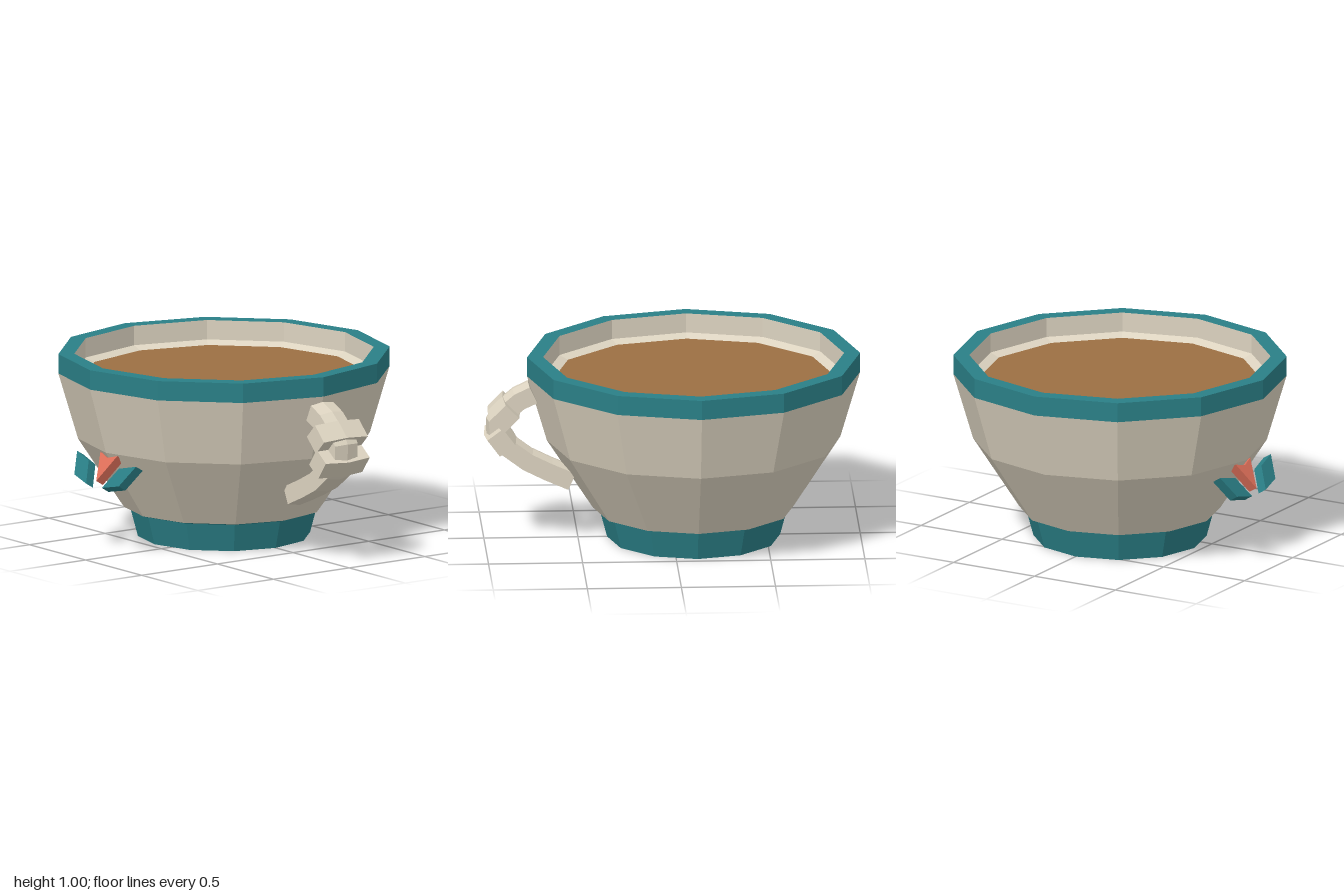
import * as THREE from 'three';

const SIDES = 12;
const CUP_X = -0.115;

const mat = (color) => new THREE.MeshStandardMaterial({ color, flatShading: true });
const cream = mat(0xdcd3c0);
const teal = mat(0x2a7f86);
const coral = mat(0xe0705a);
const brown = mat(0x9c6f43);

function add(parent, name, geometry, material) {
  const mesh = new THREE.Mesh(geometry, material);
  mesh.name = name;
  parent.add(mesh);
  return mesh;
}

const lathe = (points) =>
  new THREE.LatheGeometry(points.map(([r, y]) => new THREE.Vector2(r, y)), SIDES);

// Hexagonal section with a ridge on the outside and inside, swept along points in the xy plane
function sweep(path, thick, width) {
  const section = [
    [thick, 0], [thick * 0.78, width], [-thick * 0.78, width],
    [-thick, 0], [-thick * 0.78, -width], [thick * 0.78, -width],
  ];
  const count = section.length;
  const positions = [];
  const index = [];
  path.forEach(([x, y], i) => {
    const a = path[Math.max(i - 1, 0)];
    const b = path[Math.min(i + 1, path.length - 1)];
    const length = Math.hypot(b[0] - a[0], b[1] - a[1]);
    const nx = -(b[1] - a[1]) / length;
    const ny = (b[0] - a[0]) / length;
    section.forEach(([n, z]) => positions.push(x + nx * n, y + ny * n, z));
  });
  for (let i = 0; i < path.length - 1; i++) {
    for (let j = 0; j < count; j++) {
      const k = (j + 1) % count;
      const p = i * count;
      const q = p + count;
      index.push(p + j, p + k, q + k, p + j, q + k, q + j);
    }
  }
  // End caps
  const last = (path.length - 1) * count;
  for (let j = 1; j < count - 1; j++) {
    index.push(0, j + 1, j, last, last + j, last + j + 1);
  }
  const geometry = new THREE.BufferGeometry();
  geometry.setAttribute('position', new THREE.Float32BufferAttribute(positions, 3));
  geometry.setIndex(index);
  const flat = geometry.toNonIndexed();
  flat.computeVertexNormals();
  return flat;
}

export function createModel() {
  const model = new THREE.Group();
  model.name = 'teacup';

  // Cup: foot, bowl, rim, inner wall and drink
  const cup = new THREE.Group();
  cup.name = 'cup';
  cup.position.x = CUP_X;
  model.add(cup);
  add(cup, 'foot', lathe([[0, 0], [0.46, 0], [0.5, 0.15], [0.535, 0.16]]), teal);
  add(cup, 'bowl', lathe([[0.535, 0.16], [0.78, 0.535], [0.885, 0.89]]), cream);
  add(cup, 'rim', lathe([[0.885, 0.89], [0.885, 0.995], [0.8, 0.995]]), teal);
  add(cup, 'innerWall', lathe([[0.8, 0.995], [0.8, 0.89], [0.75, 0.87]]), cream);
  const drink = add(cup, 'drink', new THREE.CircleGeometry(0.752, SIDES), brown);
  drink.rotation.x = -Math.PI / 2;
  drink.position.y = 0.87;

  // Handle with two wider bands
  const handle = new THREE.Group();
  handle.name = 'handle';
  model.add(handle);
  add(handle, 'handleLoop', sweep([
    [0.74, 0.805], [0.815, 0.77], [0.88, 0.715], [0.93, 0.645], [0.93, 0.58],
    [0.87, 0.51], [0.77, 0.435], [0.66, 0.38], [0.535, 0.325],
  ], 0.062, 0.075), cream);
  add(handle, 'upperBand', sweep([[0.855, 0.735], [0.935, 0.655]], 0.066, 0.145), cream);
  add(handle, 'lowerBand', sweep([[0.947, 0.61], [0.88, 0.52]], 0.066, 0.145), cream);

  // Tilted ornament on the front: two leaves and a notched wedge
  const tilt = Math.atan2(0.095, 0.155);
  const ornament = new THREE.Group();
  ornament.name = 'frontOrnament';
  ornament.position.set(CUP_X, 0.365, 0.86);
  ornament.rotation.x = -tilt;
  model.add(ornament);
  const plate = (name, corners, material) => {
    const shape = new THREE.Shape(
      corners.map(([x, y]) => new THREE.Vector2(x, (y - 0.365) / Math.cos(tilt))));
    const geometry = new THREE.ExtrudeGeometry(shape, { depth: 0.052, bevelEnabled: false });
    geometry.translate(0, 0, -0.052);
    add(ornament, name, geometry, material);
  };
  const leaf = [[0.07, 0.366], [0.198, 0.393], [0.262, 0.502], [0.135, 0.473]];
  plate('leftLeaf', leaf, teal);
  plate('rightLeaf', leaf.map(([x, y]) => [-x, y]), teal);
  plate('wedge', [[0, 0.39], [0.075, 0.527], [0, 0.507], [-0.075, 0.527]], coral);

  return model;
}
